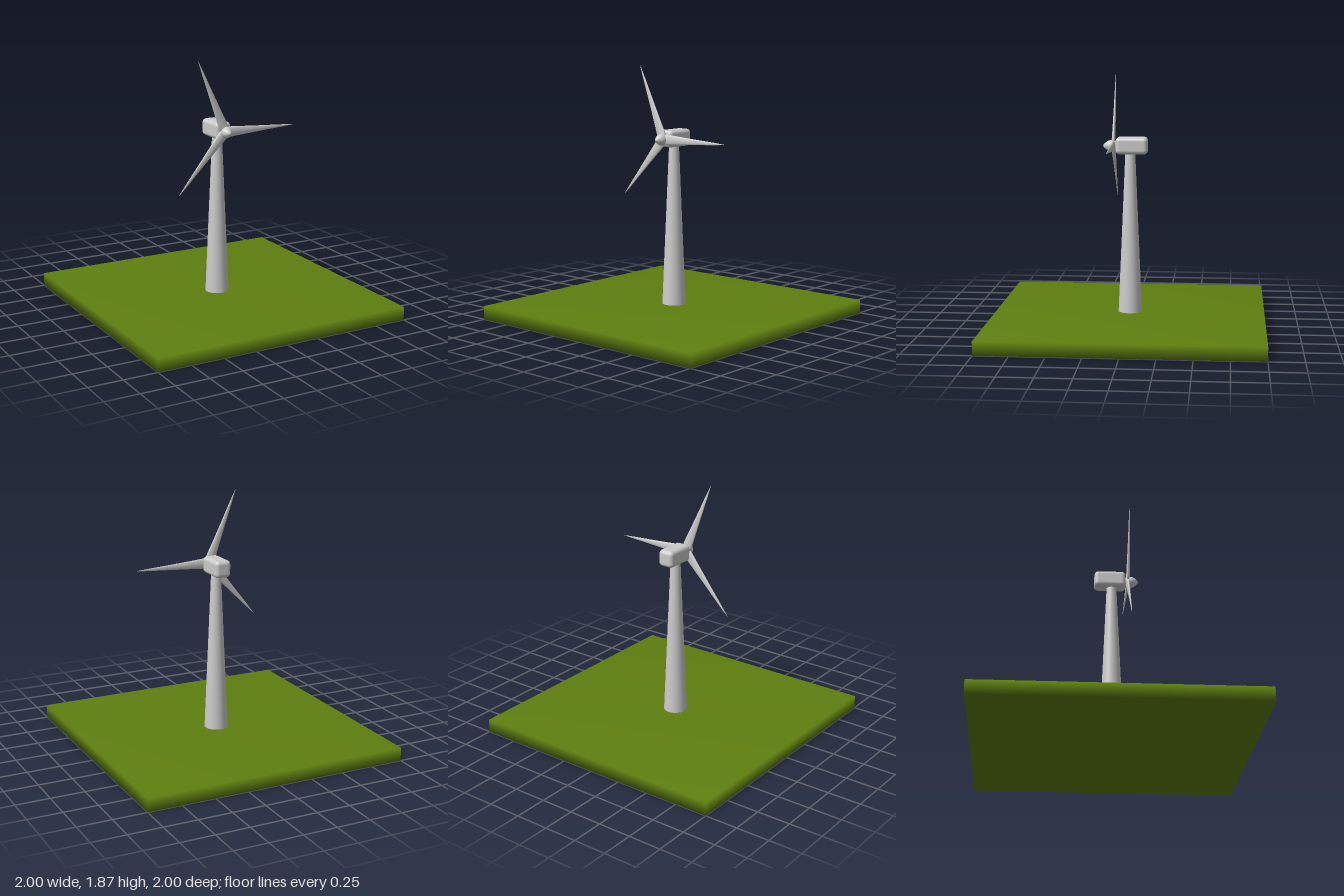
import * as THREE from 'three';
import { mergeVertices } from 'three/addons/utils/BufferGeometryUtils.js';
import { RoundedBoxGeometry } from 'three/addons/geometries/RoundedBoxGeometry.js';

const grey = new THREE.MeshStandardMaterial({ color: 0xcccccc });
const green = new THREE.MeshStandardMaterial({ color: 0x5f7f10 });

function part(name, geometry, material, x = 0, y = 0, z = 0) {
  const mesh = new THREE.Mesh(geometry, material);
  mesh.name = name;
  mesh.position.set(x, y, z);
  return mesh;
}

// Slab whose corners share one normal, giving soft shading over the edges
function softBox(w, h, d) {
  let geo = new THREE.BoxGeometry(w, h, d);
  geo.deleteAttribute('normal');
  geo.deleteAttribute('uv');
  geo = mergeVertices(geo);
  geo.computeVertexNormals();
  return geo;
}

// Flattened, tapering blade that points along +x
function bladeGeometry() {
  // distance from the hub, half width, half thickness
  const sections = [
    [0.0, 0.026, 0.018], [0.03, 0.038, 0.016], [0.06, 0.038, 0.014],
    [0.16, 0.03, 0.011], [0.32, 0.019, 0.007], [0.48, 0.009, 0.004], [0.575, 0.001, 0.001],
  ];
  const sides = 16;
  const geo = new THREE.CylinderGeometry(1, 1, 1, sides, sections.length - 1);
  const pos = geo.attributes.position;
  for (let i = 0; i < pos.count; i++) {
    const row = Math.round((pos.getY(i) + 0.5) * (sections.length - 1));
    const [r, w, t] = sections[row];
    // keeps the handedness of the cylinder: y -> x, x -> -y
    pos.setXYZ(i, r, -pos.getX(i) * w, pos.getZ(i) * t);
  }
  geo.computeVertexNormals();
  return geo;
}

export function createModel() {
  const model = new THREE.Group();
  model.name = 'windTurbine';

  model.add(part('ground', softBox(2, 0.1, 2), green, 0, 0.05, 0));

  // Tapered tower
  model.add(part('tower', new THREE.CylinderGeometry(0.036, 0.088, 1.22, 32), grey, 0, 0.7, 0));

  // Generator housing on top of the tower
  model.add(part('nacelle', new RoundedBoxGeometry(0.124, 0.126, 0.235, 5, 0.03), grey, 0, 1.343, -0.0125));

  // Rotor with pointed hub and three blades
  const rotor = new THREE.Group();
  rotor.name = 'rotor';
  rotor.position.set(0, 1.34, 0.124);
  const profile = [
    [0, -0.03], [0.03, -0.03], [0.037, -0.012], [0.042, 0.008], [0.042, 0.024],
    [0.036, 0.042], [0.025, 0.058], [0.012, 0.072], [0, 0.077],
  ].map(([r, h]) => new THREE.Vector2(r, h));
  const hub = part('hub', new THREE.LatheGeometry(profile, 28), grey);
  hub.rotation.x = Math.PI / 2;
  rotor.add(hub);

  const bladeShape = bladeGeometry();
  for (const angle of [0, 112.5, 228.5]) {
    const blade = part('blade', bladeShape, grey);
    blade.rotation.z = THREE.MathUtils.degToRad(angle);
    rotor.add(blade);
  }
  model.add(rotor);
  return model;
}
